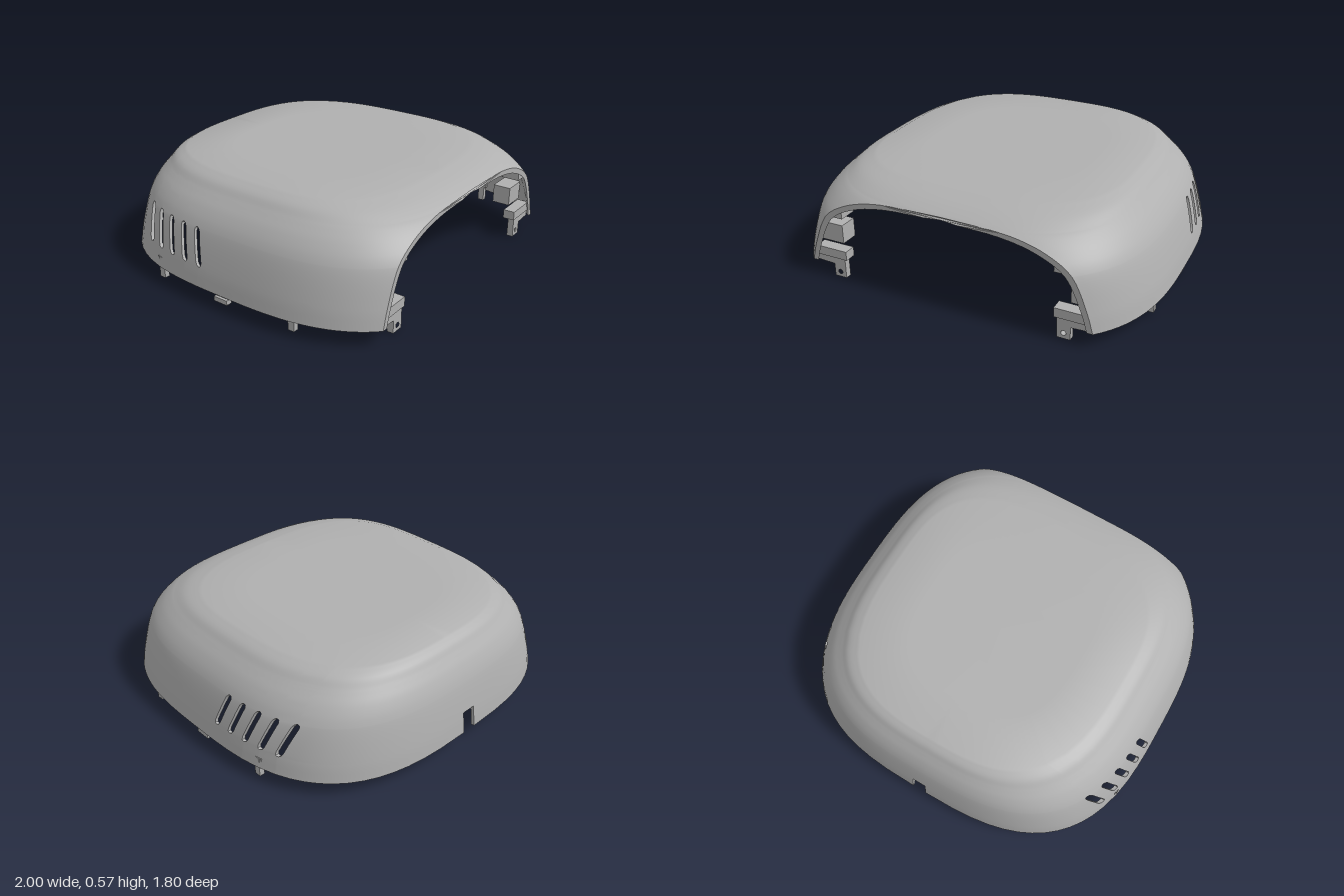
import * as THREE from 'three';
import { toCreasedNormals } from 'three/addons/utils/BufferGeometryUtils.js';

const CUT = 0.9, MID = 0.1, WALL = 0.018, BASE = 0.08;
const SLOTS = [-0.06, -0.16, -0.26, -0.36, -0.46];

// Height profile of the cover: side half width, height, front reach
const profile = [
  [1, 0.08, 1.1], [0.98, 0.18, 1.085], [0.922, 0.36, 1.045], [0.868, 0.44, 0.985],
  [0.822, 0.485, 0.935], [0.80, 0.505, 0.90], [0.762, 0.54, 0.82], [0.695, 0.57, 0.70],
];

function makeLevels() {
  const curve = new THREE.CatmullRomCurve3(profile.map(p => new THREE.Vector3(...p)));
  const levels = [];
  profile.slice(0, -1).forEach((_, k) => {
    const n = k === 1 ? 9 : 4;
    for (let j = 0; j < n; j++) {
      // rows bunch up at both ends of the vents so these come out round
      const f = k === 1 ? (1 - Math.cos(Math.PI * j / n)) / 2 : j / n;
      levels.push(curve.getPoint((k + f) / (profile.length - 1)));
    }
  });
  levels.push(new THREE.Vector3(...profile[profile.length - 1]));
  return levels;
}

// One half ring of the cover at a given level, from the front cut to the back centre
function halfRing(level, inset) {
  const rx = level.x - inset;
  const front = level.z - MID - inset;
  const back = 0.9 + MID - 0.64 * (1 - level.x) - inset;
  const angle = z => {
    const d = z - MID, ext = d > 0 ? front : back;
    return Math.sign(d) * Math.asin(Math.min(1, Math.pow(Math.abs(d) / ext, 1.5)));
  };
  const y0 = THREE.MathUtils.clamp(level.y, 0.18, 0.36);
  const toEnd = Math.min(y0 - 0.18, 0.36 - y0), r = 0.018;
  const d = Math.max(0, r - toEnd);
  const w = Math.max(0.003, Math.sqrt(Math.max(0, r * r - d * d)));
  const angles = [], n = 18;
  const start = angle(CUT), first = angle(0);
  for (let i = 0; i <= n; i++) angles.push(start + (first - start) * i / n);
  for (const z of SLOTS) {
    const c = z - (y0 - 0.18) * 0.31;
    angles.push(angle(c + w), angle(c - w));
  }
  const last = angles[angles.length - 1];
  const notch = -Math.acos(Math.pow(0.04 / rx, 1.5));
  for (let i = 1; i <= 12; i++) angles.push(last + (notch - last) * i / 12);
  angles.push(-Math.PI / 2);
  const y = BASE + (level.y - BASE) * (inset ? 0.965 : 1);
  return angles.map(a => {
    const s = Math.sin(a), c = Math.max(0, Math.cos(a));
    const x = Math.abs(Math.abs(a) - Math.PI / 2) < 1e-6 ? 0 : rx * Math.pow(c, 2 / 3);
    const z = MID + Math.sign(s) * (s > 0 ? front : back) * Math.pow(Math.abs(s), 2 / 3);
    return new THREE.Vector3(x, y, z);
  });
}

function shellGeometry() {
  const levels = makeLevels();
  const skin = inset => {
    const rows = levels.map(l => halfRing(l, inset));
    const rim = rows[rows.length - 1];
    const centre = new THREE.Vector3(0, rim[0].y, 0);
    for (const f of [0.35, 0.7, 1]) rows.push(rim.map(p => p.clone().lerp(centre, f)));
    return rows;
  };
  const outer = skin(0), inner = skin(WALL);
  const nR = outer.length - 1, nC = outer[0].length - 1;
  const solid = (i, j) => {
    if (i < 0 || j < 0 || i >= nC || j >= nR) return false;
    if (j >= levels.length - 1) return true;
    const y = (levels[j].y + levels[j + 1].y) / 2;
    if (i === nC - 1) return y > 0.2;                       // back notch
    const slot = i - 19;
    return !(slot >= 0 && slot < 10 && slot % 2 === 0 && y > 0.18 && y < 0.36);
  };
  const pos = [];
  for (const side of [1, -1]) {
    const tri = (...p) => {
      if (side < 0) p.reverse();
      const area = p[1].clone().sub(p[0]).cross(p[2].clone().sub(p[0])).length();
      if (area > 1e-9) p.forEach(v => pos.push(side * v.x, v.y, v.z));
    };
    const quad = (a, b, c, d) => { tri(a, b, c); tri(a, c, d); };
    for (let j = 0; j < nR; j++) for (let i = 0; i < nC; i++) {
      if (!solid(i, j)) continue;
      const corners = [[i, j], [i + 1, j], [i + 1, j + 1], [i, j + 1]];
      const o = corners.map(([a, b]) => outer[b][a]);
      const n = corners.map(([a, b]) => inner[b][a]);
      quad(...o);
      quad(n[3], n[2], n[1], n[0]);
      // wall thickness along every open edge
      [[i, j - 1], [i + 1, j], [i, j + 1], [i - 1, j]].forEach(([a, b], e) => {
        const f = (e + 1) % 4;
        if (solid(a, b) || b >= nR || (o[e].x === 0 && o[f].x === 0)) return;
        quad(o[f], o[e], n[e], n[f]);
      });
    }
  }
  const g = new THREE.BufferGeometry();
  g.setAttribute('position', new THREE.Float32BufferAttribute(pos, 3));
  return toCreasedNormals(g, 0.6);
}

export function createModel() {
  const model = new THREE.Group();
  const grey = new THREE.MeshStandardMaterial({ color: 0xb0b0b0 });
  grey.name = 'plain grey';

  const add = (parent, name, geometry) => {
    const mesh = new THREE.Mesh(geometry, grey);
    mesh.name = name;
    parent.add(mesh);
  };
  // Box given by its limits on each axis
  const box = (parent, name, x0, x1, y0, y1, z0, z1) => {
    const g = new THREE.BoxGeometry(x1 - x0, y1 - y0, z1 - z0);
    g.translate((x0 + x1) / 2, (y0 + y1) / 2, (z0 + z1) / 2);
    add(parent, name, g);
  };
  // Plate facing front, with a round screw hole
  const plate = (parent, name, points, hole, z0, z1) => {
    const shape = new THREE.Shape(points.map(p => new THREE.Vector2(...p)));
    if (hole) shape.holes.push(new THREE.Path().absarc(hole[0], hole[1], 0.013, 0, Math.PI * 2, true));
    const g = new THREE.ExtrudeGeometry(shape, { depth: z1 - z0, bevelEnabled: false, curveSegments: 12 });
    g.translate(0, 0, z0);
    add(parent, name, g);
  };
  // Mirror outlines so that both sides keep their face order
  const flip = (pts, s) => pts.map(([x, y]) => [s * x, y]);

  add(model, 'shell', shellGeometry());

  for (const s of [1, -1]) {
    const side = new THREE.Group();
    side.name = s > 0 ? 'leftFittings' : 'rightFittings';
    model.add(side);
    const sbox = (name, x0, x1, ...r) => box(side, name, Math.min(s * x0, s * x1), Math.max(s * x0, s * x1), ...r);

    // Front mounting brackets
    plate(side, 'upperGusset', flip([[0.585, 0.36], [0.675, 0.36], [0.65, 0.39], [0.62, 0.415], [0.585, 0.435]], s),
      [s * 0.628, 0.388], 0.79, 0.89);
    sbox('bracketBlock', 0.645, 0.78, 0.17, 0.275, 0.72, 0.82);
    sbox('bracketShelf', 0.585, 0.77, 0.115, 0.165, 0.82, 0.885);
    plate(side, 'bracketWeb', flip([[0.60, 0.12], [0.62, 0.09], [0.67, 0.075], [0.775, 0.08], [0.765, 0.12]], s),
      null, 0.845, 0.88);
    plate(side, 'screwLug', flip([[0.60, 0.005], [0.67, 0.005], [0.67, 0.12], [0.60, 0.12]], s),
      [s * 0.635, 0.035], 0.845, 0.88);

    // Locating pegs and the snap hook along the bottom edge
    for (const z of [0.505, -0.35]) {
      sbox('locatingPeg', 0.93, 0.96, 0.025, 0.14, z - 0.018, z + 0.018);
      sbox('pegRib', 0.93, 0.955, 0.11, 0.14, z - 0.03, z + 0.03);
    }
    sbox('snapArm', 0.945, 0.965, 0.03, 0.19, 0.035, 0.12);
    sbox('snapHook', 0.945, 0.98, 0.03, 0.055, 0.035, 0.12);
    sbox('snapRoot', 0.93, 0.968, 0.165, 0.195, 0.025, 0.13);
  }
  // Lift so that the lugs rest on the ground
  model.children.forEach(c => { if (c.name !== 'shell') c.position.y = -0.005; });
  return model;
}
